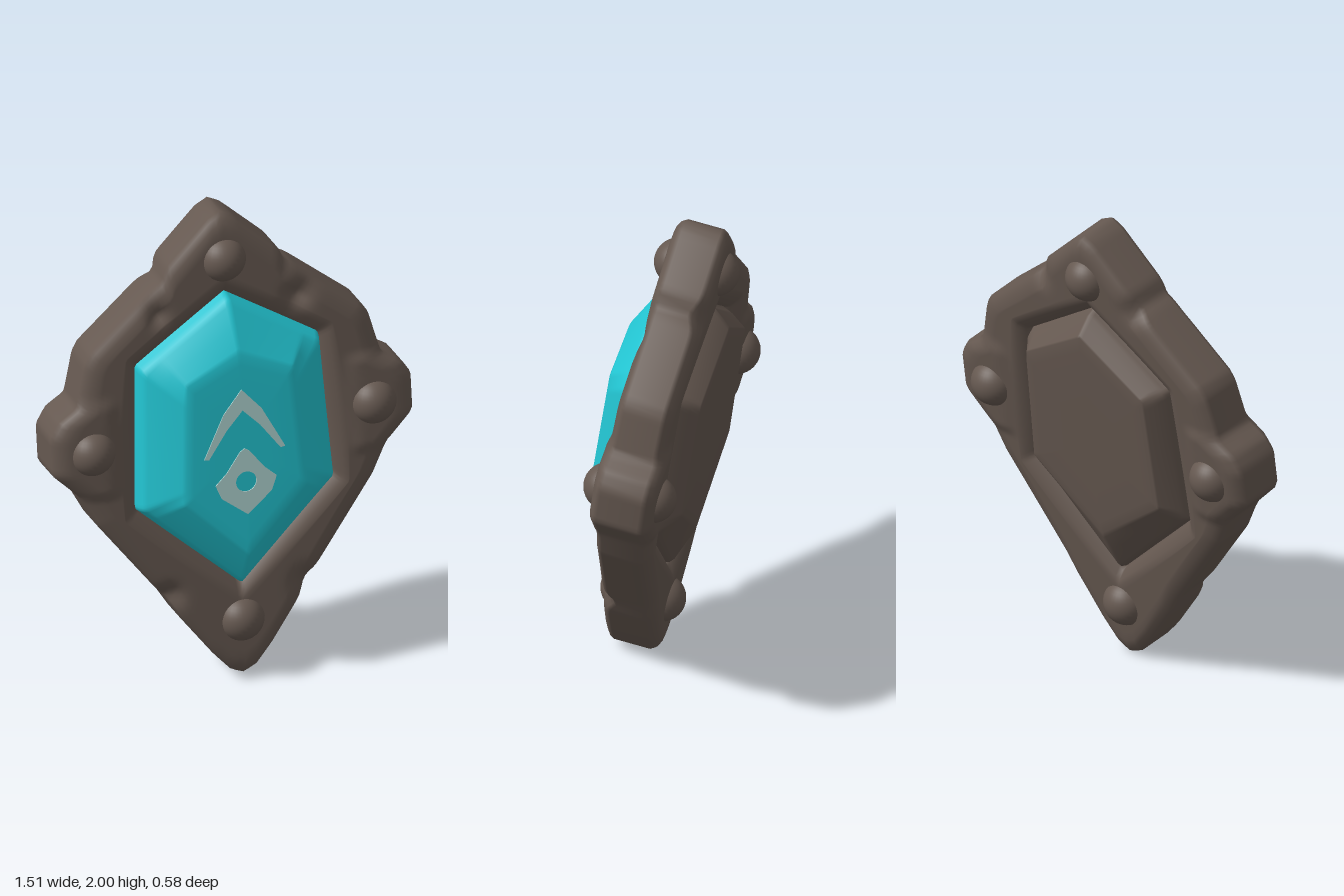
import * as THREE from 'three';

const SEG = 240, CY = 0.05; // samples around, height of the loft centre

// Closed outline from its right half (top to bottom)
const mirror = half => [...half, ...half.slice(1, -1).reverse().map(([x, y]) => [-x, y])];

// Distance from the loft centre to an outline along an angle
function radius(poly, a) {
  const dx = Math.cos(a), dy = Math.sin(a);
  let best = 0;
  poly.forEach(([x1, y1], i) => {
    const [x2, y2] = poly[(i + 1) % poly.length];
    const ex = x2 - x1, ey = y2 - y1, det = dx * ey - dy * ex;
    if (Math.abs(det) < 1e-9) return;
    const px = x1, py = y1 - CY;
    const t = (px * ey - py * ex) / det, u = (px * dy - py * dx) / det;
    if (t > 0 && u >= -1e-6 && u <= 1 + 1e-6) best = Math.max(best, t);
  });
  return best;
}

// Skin a list of stations, each giving [radius, z] at an angle index
function loft(stations, closed, bend = (x, y, z) => z) {
  const pos = [], idx = [], n = stations.length;
  for (const station of stations) {
    for (let i = 0; i < SEG; i++) {
      const a = (i / SEG) * Math.PI * 2, [r, z] = station(i);
      const x = r * Math.cos(a), y = CY + r * Math.sin(a);
      pos.push(x, y, bend(x, y, z));
    }
  }
  for (let s = 0; s < (closed ? n : n - 1); s++) {
    for (let i = 0; i < SEG; i++) {
      const j = (i + 1) % SEG, t = (s + 1) % n;
      const a = s * SEG + i, b = s * SEG + j, c = t * SEG + j, d = t * SEG + i;
      idx.push(a, b, c, a, c, d);
    }
  }
  const g = new THREE.BufferGeometry();
  g.setAttribute('position', new THREE.Float32BufferAttribute(pos, 3));
  g.setIndex(idx);
  g.computeVertexNormals();
  return g;
}

const sample = half => {
  const poly = mirror(half);
  return Array.from({ length: SEG }, (_, i) => radius(poly, (i / SEG) * Math.PI * 2));
};

export function createModel() {
  const stone = new THREE.MeshStandardMaterial({ color: 0x655850 });
  const crystal = new THREE.MeshStandardMaterial({ color: 0x22c3d0 });
  const pale = new THREE.MeshStandardMaterial({ color: 0xaed3d0 });
  stone.name = 'stone'; crystal.name = 'crystal'; pale.name = 'pale emblem';

  const model = new THREE.Group();
  model.name = 'shield';
  const body = new THREE.Group();
  body.name = 'tiltedBody';
  body.position.y = 1;
  body.rotation.x = -0.142;
  model.add(body);
  const add = (name, geometry, material) => {
    const m = new THREE.Mesh(geometry, material);
    m.name = name;
    body.add(m);
    return m;
  };

  const outer = sample([[0, 1], [0.05, 0.975], [0.235, 0.8], [0.255, 0.745], [0.3, 0.715], [0.57, 0.49],
    [0.595, 0.45], [0.64, 0.27], [0.72, 0.22], [0.757, 0.16], [0.757, 0], [0.65, -0.11], [0.58, -0.25],
    [0.3, -0.635], [0.25, -0.72], [0.12, -0.9], [0.05, -0.98], [0, -1]]);
  const opening = sample([[0, 0.65], [0.38, 0.4], [0.41, -0.21], [0, -0.6]]);

  // Frame: rounded section swept between the outer outline and the opening
  const front = [
    i => [outer[i], 0.075],
    i => [outer[i] - 0.012, 0.093],
    i => [outer[i] - 0.04, 0.108],
    i => [outer[i] - 0.07, 0.115],
    ...[0.15, 0.3, 0.45, 0.6, 0.75, 0.9].map(t => i => [
      THREE.MathUtils.lerp(outer[i] - 0.07, opening[i] + 0.07, t), 0.115]),
    i => [opening[i] + 0.07, 0.115],
    i => [opening[i] + 0.045, 0.108],
    i => [opening[i] + 0.01, 0.082],
    i => [opening[i], 0.06],
  ];
  const back = front.map(f => i => { const [r, z] = f(i); return [r, -z]; }).reverse();
  // Chips in the surface: x, y, face, size, depth
  const chips = [[0.3, 0.59, 1, 0.05, 0.035], [-0.29, 0.61, 1, 0.04, 0.03], [-0.3, -0.61, 1, 0.045, 0.04],
    [0.27, -0.65, 1, 0.05, 0.04], [0.25, 0.74, -1, 0.05, 0.03], [-0.25, 0.74, -1, 0.05, 0.03]];
  const wear = (x, y, z) => {
    // the side lugs are slightly thicker
    const lug = THREE.MathUtils.smoothstep(Math.abs(x), 0.46, 0.54)
      * (1 - THREE.MathUtils.smoothstep(Math.abs(y - 0.08), 0.17, 0.23));
    let out = z * (1 + 0.12 * lug);
    for (const [cx, cy, side, size, depth] of chips) {
      if (z * side > 0.05) out -= side * depth * Math.exp(-((x - cx) ** 2 + (y - cy) ** 2) / size ** 2);
    }
    return out;
  };
  add('frame', loft([...back.slice(-1), ...front, ...back.slice(0, -1)], true, wear), stone);

  // Domed panel: a girdle, then sloping facets up to a flat table
  const panel = (table, girdleZ, topZ, sign) => {
    const mix = (t, z) => i => [THREE.MathUtils.lerp(opening[i] - 0.012, table[i], t), z * sign];
    const slope = t => THREE.MathUtils.lerp(girdleZ, topZ, t);
    const rings = [
      i => [opening[i] + 0.02, 0.02 * sign],
      i => [opening[i] - 0.002, (girdleZ - 0.03) * sign],
      mix(0, girdleZ - 0.005), mix(0.1, slope(0.14)), mix(0.5, slope(0.53)), mix(0.88, slope(0.9)),
      mix(1, topZ - 0.004), i => [table[i] * 0.88, topZ * sign],
      i => [table[i] * 0.45, topZ * sign], () => [0, topZ * sign],
    ];
    return loft(sign > 0 ? rings : rings.reverse(), false);
  };
  const gemTable = sample([[0, 0.44], [0.22, 0.34], [0.25, -0.16], [0, -0.42]]);
  const backTable = sample([[0, 0.56], [0.31, 0.37], [0.33, -0.13], [0, -0.38]]);
  add('crystal', panel(gemTable, 0.13, 0.236, 1), crystal);
  add('backPanel', panel(backTable, 0.09, 0.175, -1), stone);

  // Rivets on both faces
  const ball = new THREE.SphereGeometry(0.096, 32, 20);
  for (const [x, y, z] of [[0, 0.8, 0.078], [0.59, 0.075, 0.094], [-0.59, 0.075, 0.094], [0, -0.76, 0.078]]) {
    for (const s of [1, -1]) add(s > 0 ? 'frontRivet' : 'backRivet', ball, stone).position.set(x, y, z * s);
  }

  // Emblem plates on the crystal table
  const plate = (name, half, hole) => {
    const shape = new THREE.Shape(mirror(half).map(([x, y]) => new THREE.Vector2(x, y)).reverse());
    if (hole) shape.holes.push(hole);
    add(name, new THREE.ExtrudeGeometry(shape, { depth: 0.006, bevelEnabled: false }), pale).position.z = 0.234;
  };
  plate('chevron', [[0, 0.29], [0.08, 0.195], [0.17, 0.015], [0.15, 0.012], [0.07, 0.125], [0, 0.2]]);
  const hole = new THREE.Path();
  hole.absarc(0, -0.108, 0.043, 0, Math.PI * 2, true);
  plate('diamond', [[0, 0.035], [0.02, 0.022], [0.08, -0.06], [0.128, -0.105], [0.105, -0.165], [0, -0.25]], hole);

  return model;
}
